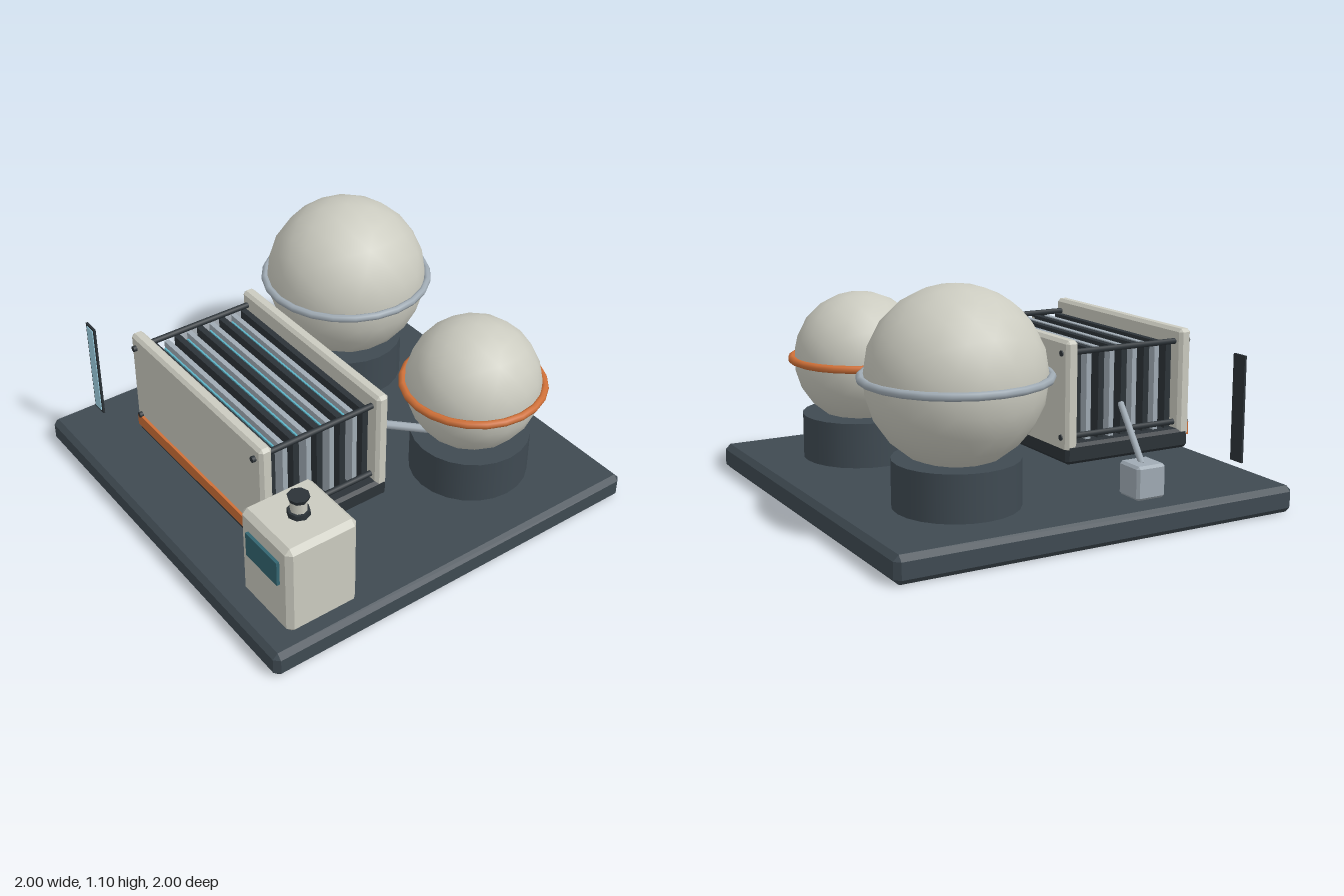
import * as THREE from 'three';
import { ConvexGeometry } from 'three/addons/geometries/ConvexGeometry.js';

const mat = (color) => new THREE.MeshStandardMaterial({ color });

export function createModel() {
  const root = new THREE.Group();
  const dark = mat(0x3f4a52), black = mat(0x2c3338), cream = mat(0xcbcbc0), steel = mat(0xa0abb4);
  const orange = mat(0xcf7038), glass = mat(0x9fd3e6), teal = mat(0x336570), cyan = mat(0x5fb4c8);

  const add = (name, geometry, material, x = 0, y = 0, z = 0, parent = root) => {
    const mesh = new THREE.Mesh(geometry, material);
    mesh.name = name;
    mesh.position.set(x, y, z);
    parent.add(mesh);
    return mesh;
  };

  // Box given by its limits
  const block = (name, material, [x0, x1], [y0, y1], [z0, z1], parent = root) =>
    add(name, new THREE.BoxGeometry(x1 - x0, y1 - y0, z1 - z0), material,
      (x0 + x1) / 2, (y0 + y1) / 2, (z0 + z1) / 2, parent);

  // Same, with every edge chamfered by c
  const chamfered = (name, material, [x0, x1], [y0, y1], [z0, z1], c, parent = root) => {
    const a = (x1 - x0) / 2, b = (y1 - y0) / 2, d = (z1 - z0) / 2, points = [];
    for (const i of [-1, 1]) for (const j of [-1, 1]) for (const k of [-1, 1]) {
      points.push(
        new THREE.Vector3(i * a, j * (b - c), k * (d - c)),
        new THREE.Vector3(i * (a - c), j * b, k * (d - c)),
        new THREE.Vector3(i * (a - c), j * (b - c), k * d));
    }
    return add(name, new ConvexGeometry(points), material,
      (x0 + x1) / 2, (y0 + y1) / 2, (z0 + z1) / 2, parent);
  };

  // Straight round bar between two points
  const rod = (name, material, from, to, radius, sides = 8, parent = root) => {
    const p = new THREE.Vector3(...from), q = new THREE.Vector3(...to);
    const mesh = add(name, new THREE.CylinderGeometry(radius, radius, p.distanceTo(q), sides), material, 0, 0, 0, parent);
    mesh.position.copy(p).lerp(q, 0.5);
    mesh.quaternion.setFromUnitVectors(new THREE.Vector3(0, 1, 0), q.sub(p).normalize());
    return mesh;
  };

  chamfered('basePlate', dark, [-1, 1], [0, 0.125], [-1, 1], 0.025);

  // Spherical tanks on round pedestals
  const tank = (name, x, y, radius, ringMaterial) => {
    const group = new THREE.Group();
    group.name = name;
    group.position.set(x, 0, -0.467);
    root.add(group);
    add('pedestal', new THREE.CylinderGeometry(0.285, 0.285, 0.22, 24), dark, 0, 0.23, 0, group);
    add('sphere', new THREE.IcosahedronGeometry(radius, 3), cream, 0, y, 0, group);
    const ring = add('ring', new THREE.TorusGeometry(radius + 0.01, 0.019, 8, 24), ringMaterial, 0, y, 0, group);
    ring.rotation.x = Math.PI / 2;
  };
  tank('largeTank', -0.5, 0.695, 0.4, steel);
  tank('smallTank', 0.49, 0.61, 0.32, orange);

  // Cell stack: sled, end plates, alternating plates and tie rods
  const stack = new THREE.Group();
  stack.name = 'cellStack';
  root.add(stack);
  chamfered('sled', black, [-0.542, 0.542], [0.235, 0.328], [0.07, 0.742], 0.015, stack);
  chamfered('backEndPlate', cream, [-0.541, 0.541], [0.29, 0.8], [0.068, 0.13], 0.015, stack);
  chamfered('frontEndPlate', cream, [-0.541, 0.541], [0.29, 0.8], [0.685, 0.747], 0.015, stack);
  block('orangeStripe', orange, [-0.517, 0.517], [0.29, 0.35], [0.74, 0.76], stack);
  for (let i = 0; i < 5; i++) {
    const z = 0.16 + i * 0.124;
    block('framePlate', black, [-0.487, 0.487], [0.32, 0.73], [z - 0.015, z + 0.015], stack);
    if (i === 4) break;
    block('cellPlate', steel, [-0.487, 0.487], [0.32, 0.725], [z + 0.045, z + 0.07], stack);
    block('membrane', cyan, [-0.45, 0.45], [0.32, 0.715], [z + 0.085, z + 0.093], stack);
  }
  for (const x of [-0.495, 0.495]) for (const y of [0.355, 0.74]) {
    rod('tieRod', black, [x, y, 0.062], [x, y, 0.764], 0.014, 8, stack);
  }

  // Feed pipes from the tanks and the pump
  rod('largeTankPipe', steel, [-0.463, 0.42, -0.2], [-0.21, 0.515, 0.18], 0.02);
  rod('smallTankPipe', steel, [0.46, 0.42, -0.23], [0.21, 0.515, 0.18], 0.02);
  rod('pumpPipe', steel, [-0.79, 0.27, 0.305], [-0.49, 0.475, 0.392], 0.015);
  chamfered('pump', steel, [-0.86, -0.71], [0.125, 0.28], [0.235, 0.385], 0.012);

  // Control cabinet with screen and beacon
  const cabinet = new THREE.Group();
  cabinet.name = 'controlCabinet';
  root.add(cabinet);
  chamfered('cabinetBody', cream, [0.57, 0.93], [0.13, 0.595], [0.522, 0.882], 0.025, cabinet);
  block('screen', teal, [0.635, 0.865], [0.38, 0.505], [0.87, 0.897], cabinet);
  add('beaconBase', new THREE.CylinderGeometry(0.05, 0.052, 0.025, 8), black, 0.75, 0.607, 0.703, cabinet);
  add('beaconLamp', new THREE.CylinderGeometry(0.038, 0.038, 0.06, 8), cream, 0.75, 0.645, 0.703, cabinet);
  add('beaconCap', new THREE.CylinderGeometry(0.05, 0.042, 0.022, 8), black, 0.75, 0.683, 0.703, cabinet);

  // Upright level gauge
  block('gaugeFrame', black, [-0.85, -0.77], [0.22, 0.717], [0.812, 0.822]);
  block('gaugeGlass', glass, [-0.838, -0.782], [0.233, 0.704], [0.82, 0.826]);

  return root;
}
